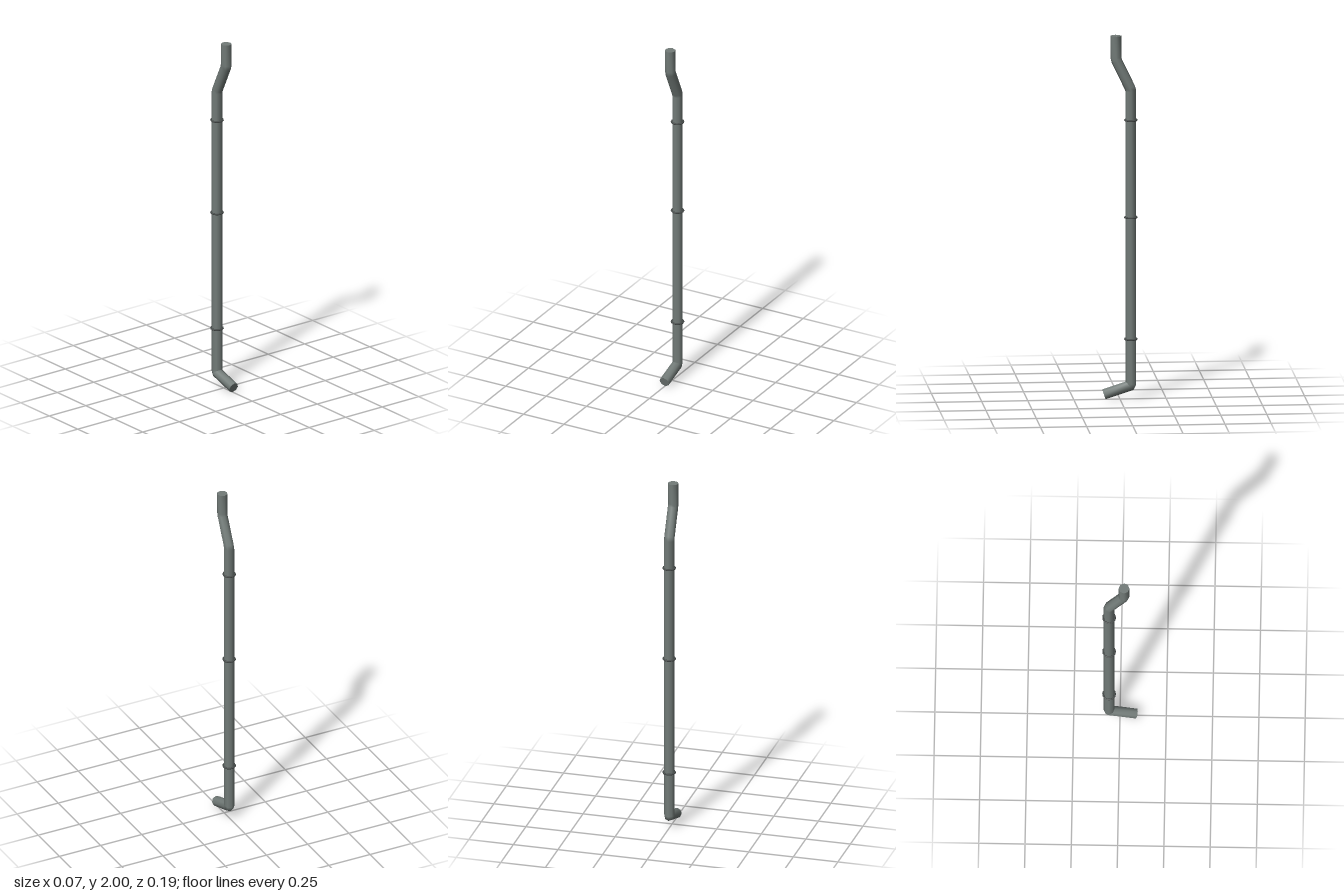
import * as THREE from 'three';

const R = 0.029, SIDES = 8;

// Sweeps a capped octagonal pipe along a path of [z, y] points, mitring each bend.
function sweepPipe(path) {
  const pts = path.map(([z, y]) => new THREE.Vector3(0, y, z));
  const pos = [], index = [];
  const dir = (i) => pts[i + 1].clone().sub(pts[i]).normalize();
  const addRing = (i) => {
    const before = dir(Math.max(i - 1, 0));
    const after = dir(Math.min(i, pts.length - 2));
    const t = before.clone().add(after).normalize();
    const stretch = R / t.dot(after);
    const start = pos.length / 3;
    for (let j = 0; j < SIDES; j++) {
      const a = (j / SIDES) * Math.PI * 2, s = Math.sin(a) * stretch;
      pos.push(R * Math.cos(a), pts[i].y + t.z * s, pts[i].z - t.y * s);
    }
    return start;
  };
  // Wall
  const rings = pts.map((_, i) => addRing(i));
  for (let i = 0; i < rings.length - 1; i++) {
    for (let j = 0; j < SIDES; j++) {
      const k = (j + 1) % SIDES, a = rings[i], b = rings[i + 1];
      index.push(a + j, a + k, b + j, a + k, b + k, b + j);
    }
  }
  // End caps
  for (const i of [0, pts.length - 1]) {
    const s = addRing(i), c = pos.length / 3;
    pos.push(...pts[i].toArray());
    for (let j = 0; j < SIDES; j++) {
      const k = (j + 1) % SIDES;
      if (i === 0) index.push(c, s + k, s + j);
      else index.push(c, s + j, s + k);
    }
  }
  const geo = new THREE.BufferGeometry();
  geo.setAttribute('position', new THREE.Float32BufferAttribute(pos, 3));
  geo.setIndex(index);
  geo.computeVertexNormals();
  return geo;
}

export function createModel() {
  const group = new THREE.Group();
  const pipeMat = new THREE.MeshStandardMaterial({ color: 0x737c79 });
  const ringMat = new THREE.MeshStandardMaterial({ color: 0x4a4f4e });

  // Drainpipe: top stub, offset bend, long drop, spout
  const pipe = new THREE.Mesh(sweepPipe([
    [0.022, 2], [0.022, 1.88], [0.017, 1.86],
    [-0.053, 1.715], [-0.059, 1.695],
    [-0.059, 0.085], [-0.053, 0.073], [0.087, 0.028],
  ]), pipeMat);
  pipe.name = 'drainpipe';
  group.add(pipe);

  // Joint rings around the long drop
  const ringGeo = new THREE.TorusGeometry(0.032, 0.0052, 6, 16).rotateX(Math.PI / 2);
  [0.33, 1.0, 1.535].forEach((y) => {
    const ring = new THREE.Mesh(ringGeo, ringMat);
    ring.name = 'jointRing';
    ring.position.set(0, y, -0.059);
    group.add(ring);
  });
  return group;
}
